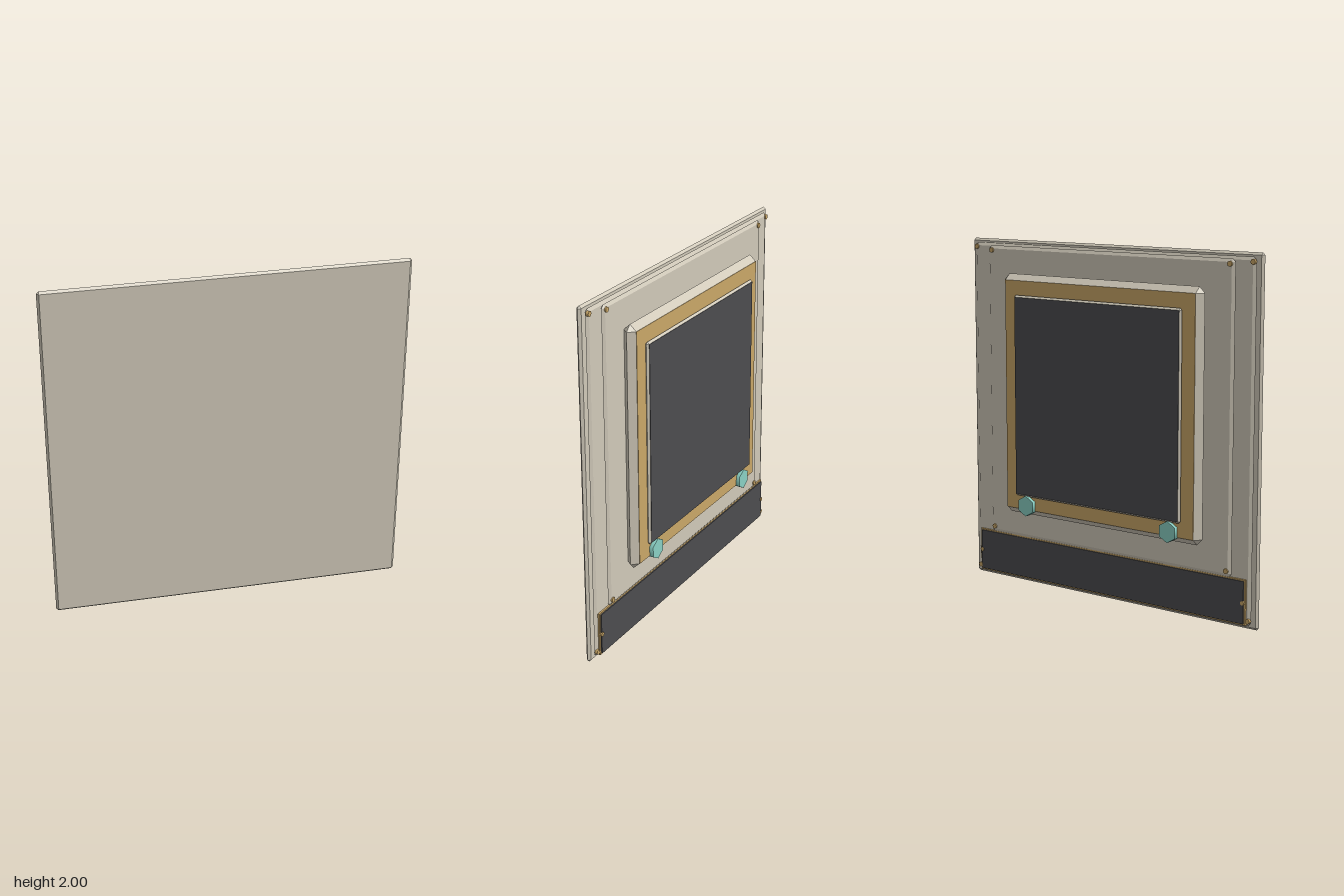
import * as THREE from 'three';
import { ConvexGeometry } from 'three/addons/geometries/ConvexGeometry.js';

const mat = (name, color) => {
  const m = new THREE.MeshStandardMaterial({ color });
  m.name = name;
  return m;
};

export function createModel() {
  const group = new THREE.Group();
  const beige = mat('warm beige', 0xd0c9b9);
  const dark = mat('charcoal', 0x4c4c4f);
  const gold = mat('brass', 0xcaa768);
  const teal = mat('teal', 0x8ad0c4);

  const add = (name, geometry, material, x = 0, y = 0, z = 0) => {
    const mesh = new THREE.Mesh(geometry, material);
    mesh.name = name;
    mesh.position.set(x, y, z);
    group.add(mesh);
    return mesh;
  };

  // Slab with flat faces inset by b, a ridge halfway through, and clipped corners
  const slab = (name, w, y0, y1, z0, z1, b) => {
    const h = (y1 - y0) / 2, d = (z1 - z0) / 2, pts = [];
    for (const sx of [-1, 1]) for (const sy of [-1, 1]) {
      for (const sz of [-1, 1]) pts.push(new THREE.Vector3(sx * (w - b), sy * (h - b), sz * d));
      pts.push(new THREE.Vector3(sx * w, sy * (h - b), 0), new THREE.Vector3(sx * (w - b), sy * h, 0));
    }
    return add(name, new ConvexGeometry(pts), beige, 0, (y0 + y1) / 2, (z0 + z1) / 2);
  };

  // Rectangular plate
  const plate = (name, material, w, y0, y1, z0, z1) =>
    add(name, new THREE.BoxGeometry(2 * w, y1 - y0, z1 - z0), material, 0, (y0 + y1) / 2, (z0 + z1) / 2);

  // Mirrored pair of prisms whose axis runs front to back
  const pair = (name, material, r, sides, depth, x, y, z) => {
    const g = new THREE.CylinderGeometry(r, r, depth, sides).rotateX(Math.PI / 2);
    g.computeVertexNormals();
    for (const s of [-1, 1]) add(name, g, material, s * x, y, z);
  };

  // Stacked back layers
  slab('frontPanel', 1, 0, 2, 0.053, 0.08, 0.013);
  slab('middlePanel', 0.965, 0.022, 1.978, 0.035, 0.055, 0.018);
  slab('innerPanel', 0.848, 0.275, 1.965, 0.016, 0.038, 0.018);

  // Raised housing with a brass face
  slab('housing', 0.69, 0.43, 1.815, -0.055, 0.018, 0.034);
  plate('housingFace', gold, 0.656, 0.464, 1.781, -0.057, -0.054);

  // Screen with a dark face
  slab('screenBody', 0.58, 0.545, 1.70, -0.078, -0.056, 0.011);
  plate('screenFace', dark, 0.569, 0.556, 1.689, -0.08, -0.077);

  // Lower dark strip on a brass backing
  plate('stripBacking', gold, 0.94, 0.026, 0.276, 0.025, 0.038);
  plate('stripFace', dark, 0.93, 0.034, 0.268, 0.018, 0.026);

  // Hexagonal knobs below the screen
  pair('knob', teal, 0.06, 6, 0.033, 0.5, 0.49, -0.0625);

  // Rivets
  for (const y of [0.05, 1.953]) pair('outerRivet', gold, 0.015, 8, 0.016, 0.95, y, 0.036);
  for (const y of [0.308, 1.938]) pair('innerRivet', gold, 0.015, 8, 0.016, 0.82, y, 0.017);
  pair('stripRivet', gold, 0.012, 8, 0.012, 0.925, 0.15, 0.019);

  return group;
}
